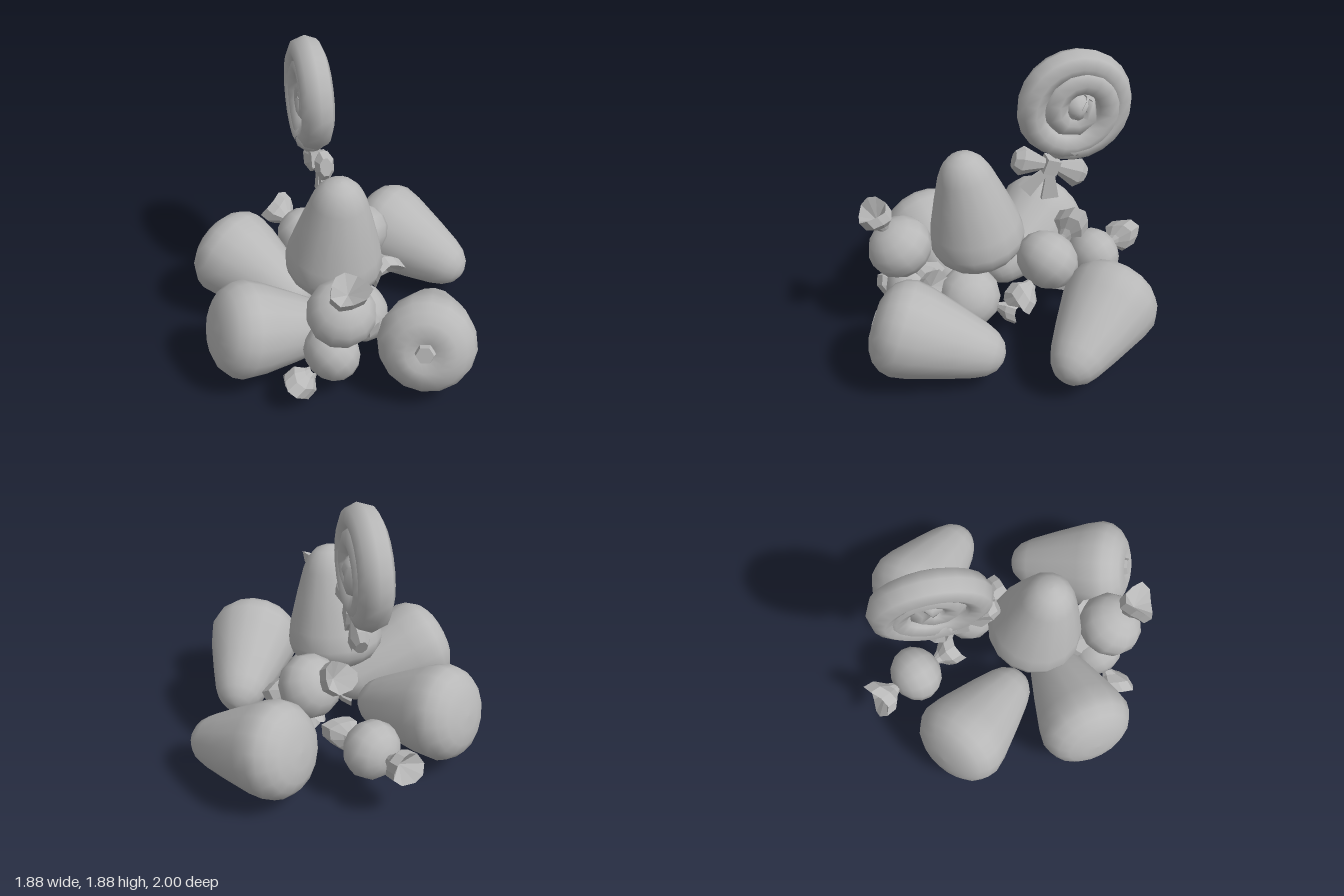
import * as THREE from 'three';

const candyGrey = new THREE.MeshStandardMaterial({ color: 0xb8b8b8 });
candyGrey.name = 'candy grey';
const V = (x, y, z) => new THREE.Vector3(x, y, z);
const UP = V(0, 1, 0);

// Puts a mesh at a point with its own y axis along a direction
function place(parent, name, geometry, from, dir, spin = 0) {
  const mesh = new THREE.Mesh(geometry, candyGrey);
  mesh.name = name;
  mesh.position.copy(from);
  mesh.quaternion.setFromUnitVectors(UP, dir.clone().normalize());
  mesh.rotateY(spin);
  parent.add(mesh);
  return mesh;
}

function faceted(geometry) {
  const g = geometry.toNonIndexed();
  g.computeVertexNormals();
  return g;
}

const lathe = (points, sides) =>
  new THREE.LatheGeometry(points.map(([r, y]) => new THREE.Vector2(r, y)), sides);

// Rounded cone with a domed base; the dimpled variant has a hollow in it
function gumdropGeometry(length, dimpled = false) {
  const base = dimpled
    ? [[0, 0.02], [0.06, 0.015], [0.12, -0.014]]
    : [[0, -0.02], [0.1, -0.015]];
  const g = lathe([...base, [0.19, 0.008], [0.25, 0.045], [0.29, 0.1], [0.306, 0.165], [0.288, 0.27],
    [0.225, 0.48], [0.172, 0.64], [0.138, 0.71], [0.09, 0.76], [0.035, 0.782], [0, 0.785]], 16);
  g.scale(1, length, 1);
  return g;
}

// Crumpled fan of wrapper foil, narrow at the twist
function wrapperGeometry(width) {
  const g = lathe([[0.035, 0], [0.055, 0.035], [0.115, 0.09], [0.12, 0.165], [0.07, 0.13], [0, 0.08]], 10);
  const p = g.attributes.position;
  for (let i = 0; i < p.count; i++) {
    const x = p.getX(i), y = p.getY(i), z = p.getZ(i);
    const a = Math.atan2(z, x), r = Math.hypot(x, z);
    const fold = 1 + 0.16 * Math.cos(5 * a) + 0.1 * Math.sin(3 * a);
    p.setXYZ(i, x * fold * width, y + r * 0.25 * Math.sin(2 * a + 0.6), z * fold * 0.85 * width);
  }
  return faceted(g);
}

// Slightly flattened ball with a twisted wrapper at each end
function wrappedCandy(parent, center, radius, ends, width = 1) {
  const candy = new THREE.Group();
  candy.name = 'wrappedCandy';
  const ball = new THREE.SphereGeometry(radius, 12, 8);
  ball.scale(1, 0.88, 1);
  place(candy, 'candyBall', ball, center, ends[0]);
  ends.forEach((dir, i) => {
    const d = dir.clone().normalize();
    const start = center.clone().addScaledVector(d, radius * 0.87);
    place(candy, 'wrapperEnd', wrapperGeometry(width), start, d, i * 1.3);
  });
  parent.add(candy);
}

// Coil that keeps a round outer turn, then winds into the middle
class CoilCurve extends THREE.Curve {
  getPoint(t, target = V(0, 0, 0)) {
    const turns = t * 2.7;
    const r = 0.28 - 0.15 * Math.max(0, turns - 0.85);
    const a = -1.9 + turns * Math.PI * 2;
    return target.set(r * Math.cos(a), r * Math.sin(a), 0.03 * t);
  }
}

function lollipop() {
  const pop = new THREE.Group();
  pop.name = 'lollipop';
  const coil = new CoilCurve();
  const candy = new THREE.Group();
  candy.name = 'spiralCandy';
  candy.scale.z = 1.14;
  const tube = new THREE.Mesh(new THREE.TubeGeometry(coil, 40, 0.092, 8), candyGrey);
  tube.name = 'spiralCoil';
  candy.add(tube);
  for (const t of [0, 1]) {
    place(candy, 'spiralEnd', new THREE.SphereGeometry(0.09, 8, 6), coil.getPoint(t), UP);
  }
  pop.add(candy);

  // Bow tied under the coil
  const bow = new THREE.Group();
  bow.name = 'bow';
  bow.position.set(-0.155, -0.385, 0.03);
  const knot = new THREE.Mesh(new THREE.BoxGeometry(0.09, 0.1, 0.1), candyGrey);
  knot.name = 'bowKnot';
  knot.rotation.z = -0.35;
  bow.add(knot);
  const strip = (top, bottom, length, sides, depth) => {
    const g = new THREE.CylinderGeometry(top, bottom, length, sides);
    g.rotateY(Math.PI / sides);
    g.translate(0, length / 2, 0);
    g.scale(1, 1, depth);
    return faceted(g);
  };
  for (const [x, y] of [[-0.2, 0.06], [0.19, -0.09]]) {
    const dir = V(x, y, 0).normalize();
    place(bow, 'bowLoop', strip(0.1, 0.035, 0.17, 8, 0.65), dir.clone().multiplyScalar(0.03), dir);
    place(bow, 'bowLoopEnd', strip(0.06, 0.1, 0.05, 8, 0.65), dir.clone().multiplyScalar(0.2), dir);
  }
  for (const [x, y] of [[-0.19, -0.16], [0.0, -0.24]]) {
    place(bow, 'bowTail', strip(0.08, 0.03, 0.22, 4, 0.25), V(0, -0.02, 0), V(x, y, 0));
  }
  pop.add(bow);
  pop.position.set(-0.082, 1.53, -0.475);
  pop.rotation.y = Math.PI / 2 - 0.06;
  return pop;
}

export function createModel() {
  const model = new THREE.Group();
  model.name = 'candyPile';

  // Gumdrops: base centre, then direction to the tip
  place(model, 'standingGumdrop', gumdropGeometry(1), V(-0.1, 0.535, 0.13), V(0.02, 0.77, 0.13));
  const tilt = -0.285;
  const lying = [
    [V(-0.713, 0.465, -0.61), V(0.59, tilt, 0.81)],
    [V(0.368, 0.45, -0.664), V(0.656, tilt, 0.755)],
    [V(-0.89, 0.455, 0.355), V(0.99, tilt, -0.15)],
  ];
  for (const [base, dir] of lying) place(model, 'lyingGumdrop', gumdropGeometry(1.04), base, dir);

  // Front gumdrop with a small peg in its hollow base
  const frontBase = V(0.245, 0.447, 0.912), frontDir = V(0.42, tilt, -0.905);
  place(model, 'frontGumdrop', gumdropGeometry(1.04, true), frontBase, frontDir);
  place(model, 'basePeg', faceted(new THREE.CylinderGeometry(0.07, 0.055, 0.06, 6)),
    frontBase.clone().addScaledVector(frontDir, 0.01), frontDir);

  // Wrapped candies
  const pair = (x, y, z) => [V(x, y, z), V(-x, -y, -z)];
  wrappedCandy(model, V(-0.19, 0.652, 0.645), 0.212, pair(0, 0.27, 0.16));
  wrappedCandy(model, V(-0.225, 0.295, 0.56), 0.188, pair(-0.25, -0.15, 0.08));
  wrappedCandy(model, V(0.04, 0.33, 0.26), 0.205, [V(-0.34, -0.24, -0.04), V(0.06, -0.18, -0.33)], 0.6);
  wrappedCandy(model, V(0.18, 0.6, -0.22), 0.205, pair(-0.13, 0.21, -0.25));
  wrappedCandy(model, V(-0.09, 0.37, -0.655), 0.187, pair(-0.1, 0.04, -0.24));

  model.add(lollipop());
  return model;
}
